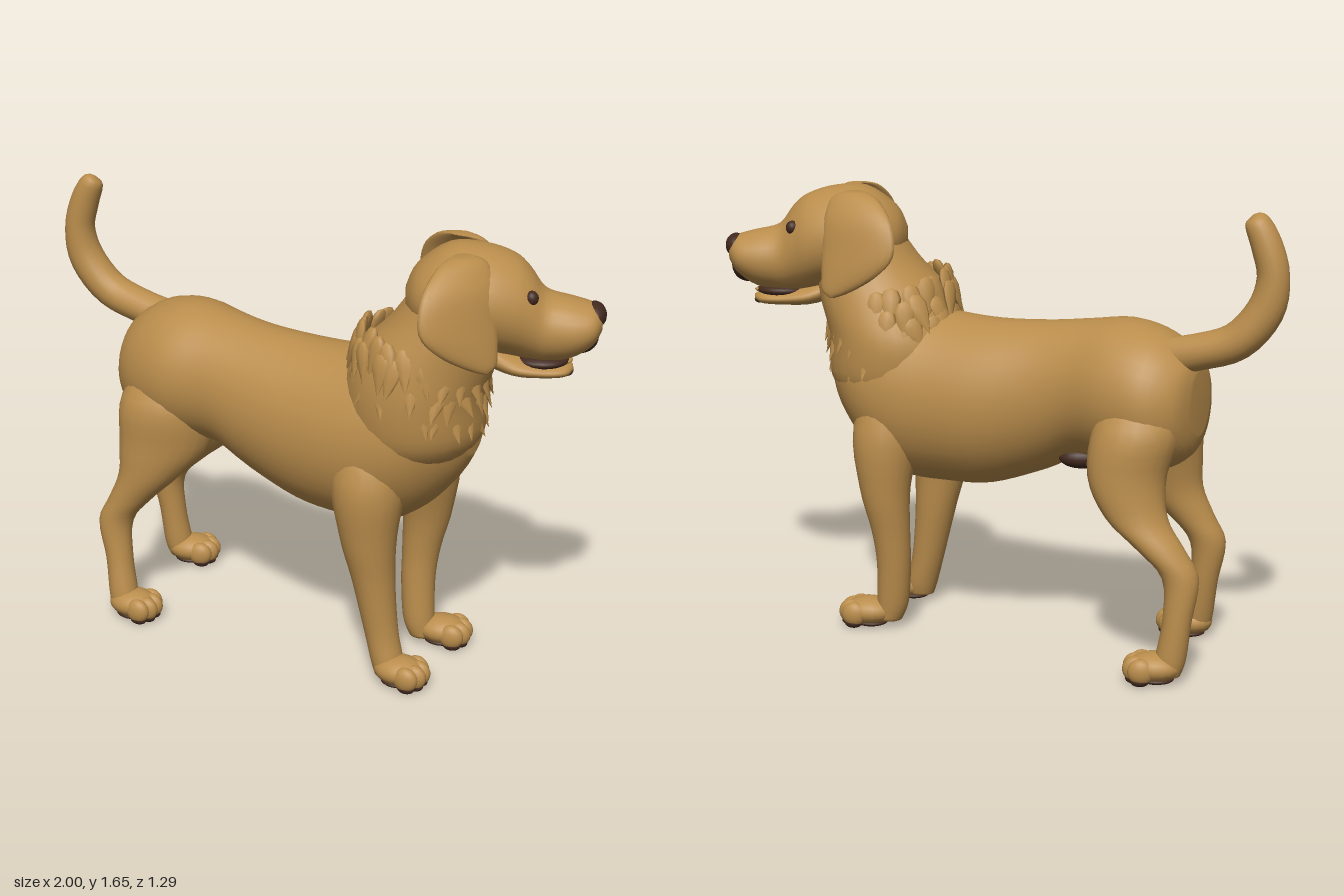
import * as THREE from 'three';
import { mergeGeometries } from 'three/addons/utils/BufferGeometryUtils.js';

const V = (x, y, z) => new THREE.Vector3(x, y, z);
const X = V(1, 0, 0), Y = V(0, 1, 0), Z = V(0, 0, 1);
const SIDE = V(-0.5, 0, 0.87).normalize(); // across the torso

const coat = new THREE.MeshStandardMaterial({ color: 0xba8d4c });
coat.name = 'goldenCoat';
const dark = new THREE.MeshStandardMaterial({ color: 0x42291e });
dark.name = 'darkBrown';

// Smooth skin through elliptical sections [x, y, z, radiusU, radiusV].
// Without v, the second axis turns with the path.
function loft(rows, u, v, sides = 28, steps = 4) {
  const n = rows.length, at = (i) => rows[Math.min(n - 1, Math.max(0, i))];
  const rings = [];
  for (let i = 0; i < (n - 1) * steps + 1; i++) {
    const k = Math.min(n - 2, Math.floor(i / steps)), t = i / steps - k;
    rings.push(at(k).map((b, c) => {
      const a = at(k - 1)[c], d = at(k + 1)[c], e = at(k + 2)[c];
      return b + 0.5 * t * (d - a + t * (2 * a - 5 * b + 4 * d - e + t * (3 * (b - d) + e - a)));
    }));
  }
  const pos = [], idx = [], m = rings.length;
  const centre = (i) => V(...rings[Math.min(m - 1, Math.max(0, i))].slice(0, 3));
  for (let i = 0; i < m; i++) {
    const dir = centre(i + 1).sub(centre(i - 1)).normalize();
    const w = v ? v.clone() : dir.clone().cross(u).normalize();
    if (u.clone().cross(w).dot(dir) < 0) w.negate();
    for (let j = 0; j < sides; j++) {
      const a = (j / sides) * Math.PI * 2;
      const p = centre(i)
        .addScaledVector(u, Math.max(0.002, rings[i][3]) * Math.cos(a))
        .addScaledVector(w, Math.max(0.002, rings[i][4]) * Math.sin(a));
      pos.push(p.x, p.y, p.z);
    }
  }
  pos.push(...centre(0).toArray(), ...centre(m - 1).toArray());
  for (let j = 0; j < sides; j++) {
    const k = (j + 1) % sides, end = (m - 1) * sides;
    for (let i = 0; i < m - 1; i++) {
      const r = i * sides;
      idx.push(r + j, r + k, r + sides + j, r + k, r + sides + k, r + sides + j);
    }
    idx.push(m * sides, k, j, m * sides + 1, end + j, end + k);
  }
  const g = new THREE.BufferGeometry();
  g.setAttribute('position', new THREE.Float32BufferAttribute(pos, 3));
  g.setIndex(idx);
  g.computeVertexNormals();
  return g;
}

const blob = (x, y, z, a, b, c) =>
  new THREE.SphereGeometry(1, 20, 14).scale(a, b, c).translate(x, y, z);

export function createModel() {
  const dog = new THREE.Group();
  dog.name = 'dog';
  const add = (name, geometry, material = coat, parent = dog) => {
    const mesh = new THREE.Mesh(geometry, material);
    mesh.name = name;
    parent.add(mesh);
    return mesh;
  };

  // Torso: x, z, top, bottom, half width
  const torso = [
    [-0.72, -0.37, 1.08, 0.85, 0.08], [-0.69, -0.36, 1.14, 0.77, 0.17],
    [-0.6, -0.31, 1.21, 0.71, 0.24], [-0.48, -0.22, 1.24, 0.71, 0.255],
    [-0.34, -0.13, 1.22, 0.72, 0.22], [-0.2, -0.05, 1.2, 0.645, 0.225],
    [-0.02, 0.04, 1.19, 0.575, 0.255], [0.14, 0.13, 1.2, 0.56, 0.27],
    [0.28, 0.2, 1.23, 0.57, 0.275], [0.4, 0.26, 1.24, 0.65, 0.25],
    [0.5, 0.3, 1.2, 0.77, 0.17], [0.56, 0.32, 1.1, 0.88, 0.07],
  ].map(([x, z, t, b, w]) => [x, (t + b) / 2, z, w, (t - b) / 2]);
  add('torso', loft(torso, SIDE, Y, 36));
  add('bellyPatch', blob(-0.32, 0.72, -0.18, 0.085, 0.04, 0.05), dark);

  // Neck
  add('neck', loft([
    [0.34, 0.86, 0.23, 0.2, 0.2], [0.35, 0.95, 0.23, 0.25, 0.26], [0.35, 1.1, 0.235, 0.255, 0.275],
    [0.39, 1.24, 0.265, 0.25, 0.24], [0.46, 1.38, 0.3, 0.195, 0.195], [0.5, 1.52, 0.31, 0.14, 0.17],
  ], X, Z));

  // Shaggy ruff: rings of pointed locks, lower at the chest than at the nape
  let seed = 7;
  const rand = () => (seed = (seed * 16807) % 2147483647) / 2147483647;
  const locks = [];
  [[1.2, 0.375, 0.258, 0.228, 0.235], [1.14, 0.36, 0.245, 0.235, 0.252], [1.07, 0.35, 0.235, 0.235, 0.255]]
    .forEach(([y, cx, cz, rx, rz], ring) => {
      for (let i = 0; i < 22; i++) {
        const a = ((i + ring * 0.5 + rand() * 0.5) / 22) * Math.PI * 2;
        const lock = new THREE.SphereGeometry(0.052, 8, 6);
        const p = lock.attributes.position;
        for (let j = 0; j < p.count; j++) { // taper to a downward point
          const t = Math.min(1, Math.max(0, 0.6 + p.getY(j) / 0.1));
          p.setXYZ(j, p.getX(j) * t, p.getY(j) * 1.55, p.getZ(j) * t * 0.45);
        }
        lock.computeVertexNormals();
        lock.rotateZ((rand() - 0.5) * 0.7).rotateX(-0.22 - rand() * 0.2);
        lock.rotateY(Math.PI / 2 - a);
        lock.translate(cx + Math.cos(a) * rx, y - 0.07 * Math.cos(a) + rand() * 0.04, cz + Math.sin(a) * rz);
        locks.push(lock);
      }
    });
  add('neckRuff', mergeGeometries(locks));

  // Head: x, z, top, bottom, half width
  const skull = [
    [0.31, 0.31, 1.49, 1.42, 0.04], [0.35, 0.31, 1.57, 1.36, 0.13],
    [0.46, 0.31, 1.645, 1.31, 0.195], [0.58, 0.315, 1.645, 1.28, 0.205],
    [0.68, 0.32, 1.615, 1.26, 0.18], [0.735, 0.33, 1.57, 1.25, 0.152],
    [0.79, 0.34, 1.5, 1.245, 0.13], [0.88, 0.35, 1.475, 1.265, 0.124],
    [0.95, 0.355, 1.455, 1.31, 0.1], [0.98, 0.355, 1.43, 1.36, 0.05],
  ].map(([x, z, t, b, w]) => [x, (t + b) / 2, z, w, (t - b) / 2]);
  add('head', loft(skull, Z, Y));
  add('nose', blob(0.956, 1.415, 0.355, 0.04, 0.045, 0.066), dark);
  add('frontLip', blob(0.912, 1.34, 0.352, 0.062, 0.062, 0.068), dark);
  add('mouth', blob(0.78, 1.25, 0.345, 0.1, 0.028, 0.088), dark);
  add('tongue', blob(0.825, 1.248, 0.35, 0.065, 0.014, 0.045));
  add('lowerJaw', loft([
    [0.58, 1.27, 0.32, 0.07, 0.05], [0.68, 1.235, 0.335, 0.105, 0.04],
    [0.78, 1.222, 0.345, 0.095, 0.03], [0.86, 1.22, 0.35, 0.072, 0.024], [0.89, 1.22, 0.35, 0.02, 0.01],
  ], Z, Y));
  add('lowerLip', blob(0.868, 1.211, 0.35, 0.024, 0.014, 0.05), dark);

  // Eyes and hanging ears on both sides of the head
  for (const s of [1, -1]) {
    const name = s > 0 ? 'right' : 'left', mid = 0.305;
    add(name + 'Eye', blob(0.735, 1.5, 0.33 + s * 0.115, 0.024, 0.026, 0.024), dark);
    const ear = [
      [0.5, 1.64, 0.13, 0.04, 0.03], [0.5, 1.615, 0.165, 0.1, 0.035], [0.49, 1.54, 0.225, 0.145, 0.035],
      [0.49, 1.43, 0.258, 0.152, 0.034], [0.525, 1.35, 0.258, 0.115, 0.03],
      [0.57, 1.29, 0.245, 0.06, 0.022], [0.585, 1.265, 0.243, 0.01, 0.01],
    ].map(([x, y, z, a, b]) => [x, y, mid + s * z, a, b]);
    add(name + 'Ear', loft(ear, V(0.86, 0, -0.51 * s), V(0.51 * s, 0, 0.86), 20));
  }

  // Tail
  add('tail', loft([
    [-0.58, 1.12, -0.33, 0.07, 0.07], [-0.7, 1.15, -0.39, 0.075, 0.065], [-0.83, 1.2, -0.45, 0.075, 0.067],
    [-0.92, 1.31, -0.48, 0.068, 0.066], [-0.945, 1.43, -0.485, 0.062, 0.057],
    [-0.92, 1.54, -0.475, 0.055, 0.054], [-0.885, 1.62, -0.46, 0.042, 0.042], [-0.875, 1.638, -0.455, 0.01, 0.01],
  ], Z, null, 20));

  // Legs: horizontal sections from the top down, then a paw [x, z, heading]
  const legs = {
    frontRight: [[
      [0.2, 1.04, 0.27, 0.07, 0.08], [0.19, 0.8, 0.34, 0.135, 0.13], [0.19, 0.57, 0.355, 0.105, 0.105],
      [0.21, 0.4, 0.355, 0.08, 0.085], [0.24, 0.2, 0.367, 0.063, 0.065], [0.265, 0.08, 0.385, 0.06, 0.06],
      [0.27, 0.03, 0.39, 0.05, 0.05]], [0.32, 0.425, 0.4]],
    frontLeft: [[
      [0.35, 1.04, 0.14, 0.07, 0.08], [0.39, 0.78, 0.08, 0.125, 0.125], [0.4, 0.55, 0.052, 0.095, 0.092],
      [0.38, 0.38, 0.05, 0.072, 0.07], [0.37, 0.25, 0.057, 0.064, 0.064], [0.375, 0.1, 0.07, 0.06, 0.06],
      [0.39, 0.03, 0.075, 0.05, 0.05]], [0.475, 0.09, 0.25]],
    rearRight: [[
      [-0.54, 1.1, -0.21, 0.07, 0.07], [-0.57, 0.9, -0.135, 0.18, 0.135], [-0.59, 0.72, -0.11, 0.175, 0.11],
      [-0.65, 0.59, -0.1, 0.12, 0.085], [-0.73, 0.48, -0.11, 0.083, 0.067], [-0.79, 0.38, -0.12, 0.066, 0.058],
      [-0.78, 0.23, -0.105, 0.052, 0.055], [-0.765, 0.09, -0.08, 0.055, 0.055],
      [-0.76, 0.03, -0.075, 0.045, 0.045]], [-0.715, -0.055, 0.4]],
    rearLeft: [[
      [-0.53, 1.1, -0.32, 0.07, 0.07], [-0.5, 0.9, -0.4, 0.155, 0.135], [-0.46, 0.72, -0.435, 0.14, 0.11],
      [-0.49, 0.58, -0.48, 0.11, 0.08], [-0.57, 0.48, -0.53, 0.085, 0.065], [-0.64, 0.38, -0.56, 0.065, 0.056],
      [-0.63, 0.23, -0.57, 0.052, 0.055], [-0.61, 0.09, -0.57, 0.055, 0.055],
      [-0.6, 0.03, -0.57, 0.045, 0.045]], [-0.545, -0.562, 0.15]],
  };
  for (const [name, [rows, [x, z, heading]]] of Object.entries(legs)) {
    add(name + 'Leg', loft(rows, X, Z, 22));
    const paw = new THREE.Group();
    paw.name = name + 'Paw';
    paw.position.set(x, 0, z);
    paw.rotation.y = -heading;
    dog.add(paw);
    const toes = [blob(-0.01, 0.06, 0, 0.098, 0.053, 0.076)];
    const pads = [blob(-0.015, 0.015, 0, 0.065, 0.015, 0.055)];
    for (const [tx, tz] of [[0.036, -0.052], [0.056, -0.02], [0.056, 0.02], [0.036, 0.052]]) {
      toes.push(blob(tx, 0.054, tz, 0.047, 0.047, 0.029));
      pads.push(blob(tx + 0.003, 0.019, tz, 0.033, 0.019, 0.022));
    }
    add(name + 'Toes', mergeGeometries(toes), coat, paw);
    add(name + 'Pads', mergeGeometries(pads), dark, paw);
  }
  return dog;
}
